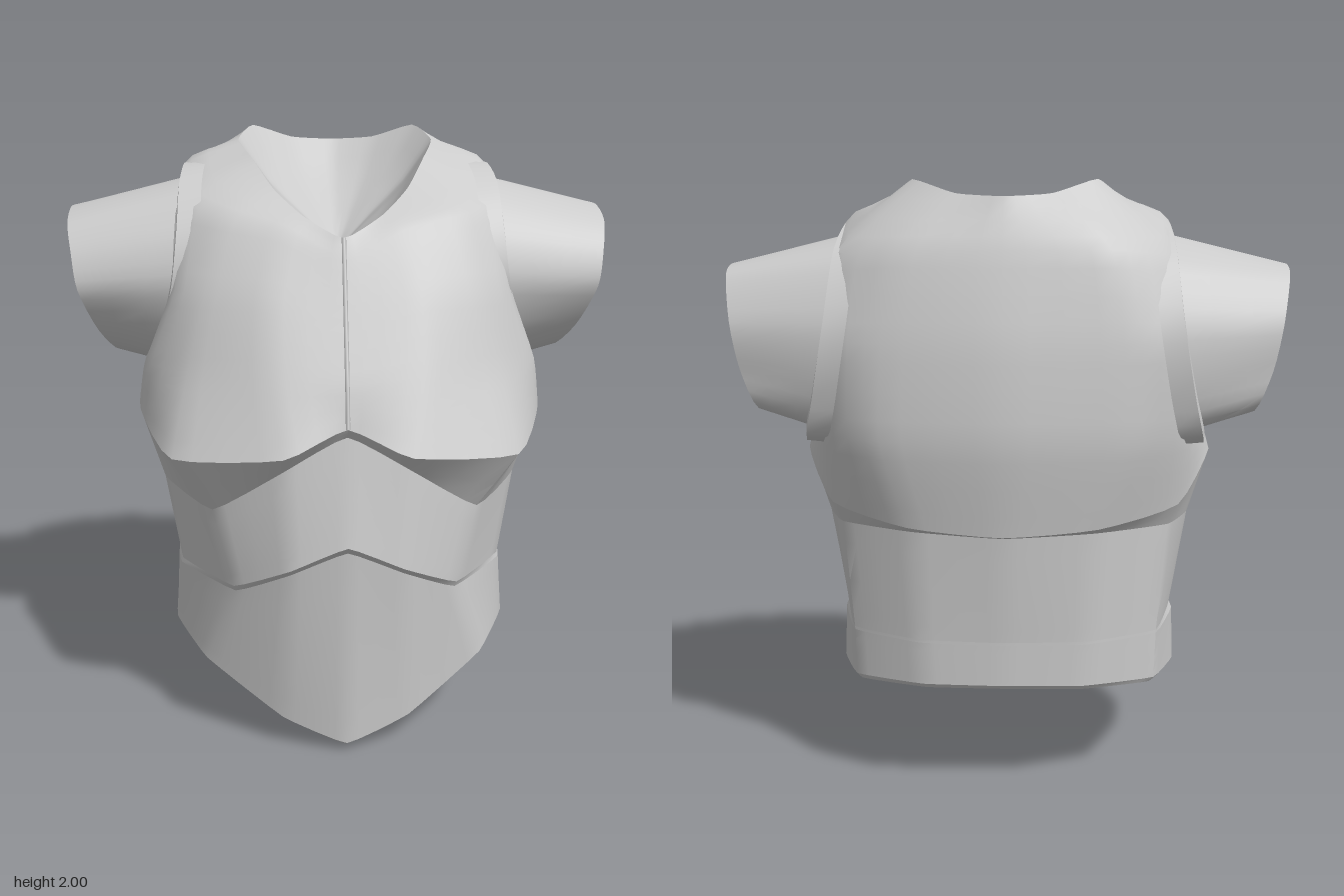
import * as THREE from 'three';
import { toCreasedNormals } from 'three/addons/utils/BufferGeometryUtils.js';

const material = new THREE.MeshStandardMaterial({ color: 0xcccccc, side: THREE.DoubleSide });

// Surface through closed loops of points, stacked from the first to the last loop
function loft(name, loops, rowSteps, colSteps, tension, crease = 0.6) {
  const n = loops[0].length, cols = n * colSteps, rows = (loops.length - 1) * rowSteps;
  const fine = loops.map((loop) => {
    const curve = new THREE.CatmullRomCurve3(loop, true, 'catmullrom', tension);
    return Array.from({ length: cols }, (_, j) => curve.getPoint(j / cols));
  });
  const positions = [], index = [];
  const columns = Array.from({ length: cols }, (_, j) =>
    new THREE.CatmullRomCurve3(fine.map((f) => f[j]), false, 'catmullrom', tension));
  for (let i = 0; i <= rows; i++) {
    for (let j = 0; j < cols; j++) {
      positions.push(...columns[j].getPoint(i / rows).toArray());
      if (i === rows) continue;
      const a = i * cols + j, b = i * cols + (j + 1) % cols;
      index.push(a, b, b + cols, a, b + cols, a + cols);
    }
  }
  const geometry = new THREE.BufferGeometry();
  geometry.setAttribute('position', new THREE.Float32BufferAttribute(positions, 3));
  geometry.setIndex(index);
  const mesh = new THREE.Mesh(toCreasedNormals(geometry, crease), material);
  mesh.name = name;
  return mesh;
}

// Half section from front centre round the left side to back centre, mirrored into a loop
function section(half) {
  const left = half.map((p) => new THREE.Vector3(...p));
  const right = left.slice(1, -1).reverse().map((p) => new THREE.Vector3(-p.x, p.y, p.z));
  return [...left, ...right];
}

// Copy of a loop drawn towards a point
const shrink = (loop, centre, amount) =>
  loop.map((p) => p.clone().lerp(new THREE.Vector3(...centre), amount));

// Sleeve outlines, from the front over the top and down the back
const sleeveBase = [[0.55, 1.5, 0.22], [0.53, 1.66, 0.18], [0.525, 1.79, 0.06], [0.52, 1.835, -0.15],
  [0.53, 1.75, -0.39], [0.55, 1.55, -0.5], [0.59, 1.35, -0.49], [0.63, 1.21, -0.4],
  [0.64, 1.2, -0.02], [0.6, 1.33, 0.15]];
const sleeveEnd = [[0.87, 1.48, 0.17], [0.89, 1.6, 0.14], [0.91, 1.69, 0.05], [0.92, 1.73, -0.13],
  [0.91, 1.7, -0.3], [0.88, 1.55, -0.405], [0.85, 1.4, -0.41], [0.8, 1.27, -0.38],
  [0.77, 1.235, -0.06], [0.82, 1.33, 0.08]];

function createSleeve(s) {
  const sleeve = new THREE.Group();
  sleeve.name = s > 0 ? 'leftSleeve' : 'rightSleeve';
  const place = (outline) => {
    const loop = outline.map(([x, y, z]) => new THREE.Vector3(s * x, y, z));
    return s > 0 ? loop : loop.reverse();
  };
  const base = place(sleeveBase), end = place(sleeveEnd);
  // Base outline widened about its middle and moved along x
  const rim = (scale, out) => base.map((p) => new THREE.Vector3(
    p.x + s * out, 1.5 + (p.y - 1.5) * scale, -0.14 + (p.z + 0.14) * scale));
  sleeve.add(
    loft('armholeRim', [rim(1.14, -0.07), rim(1.12, 0.005), rim(1.03, 0.01), rim(1, -0.03)], 1, 4, 0.45),
    loft('sleeveTube', [rim(1, -0.03), end], 4, 4, 0.4),
    loft('armHollow', [end, shrink(end, [s * 0.55, 1.49, -0.13], 0.3),
      shrink(end, [s * 0.6, 1.49, -0.13], 0.65), shrink(end, [s * 0.66, 1.49, -0.13], 0.999)], 2, 4, 0.4));
  return sleeve;
}

export function createModel() {
  const group = new THREE.Group();
  group.name = 'torsoArmour';

  // Abdomen and hips
  const hem = section([[0, 0, 0.54], [0.2, 0.08, 0.5], [0.46, 0.24, 0.37], [0.565, 0.29, 0.15],
    [0.57, 0.32, -0.1], [0.48, 0.36, -0.4], [0.25, 0.375, -0.52], [0, 0.38, -0.54]]);
  const hemTop = section([[0, 0.03, 0.59], [0.21, 0.105, 0.54], [0.465, 0.26, 0.4], [0.58, 0.305, 0.15],
    [0.585, 0.34, -0.1], [0.495, 0.375, -0.4], [0.26, 0.39, -0.53], [0, 0.395, -0.555]]);
  const waist = section([[0, 0.71, 0.615], [0.18, 0.63, 0.59], [0.36, 0.54, 0.49], [0.555, 0.53, 0.2],
    [0.58, 0.52, -0.08], [0.5, 0.53, -0.4], [0.27, 0.53, -0.53], [0, 0.53, -0.555]]);
  group.add(loft('underside', [shrink(hem, [0, 0.25, 0.14], 0.999), shrink(hem, [0, 0.25, 0.14], 0.5), hem], 1, 4, 0.15));
  group.add(loft('hem', [hem, hemTop], 1, 4, 0.15));
  group.add(loft('abdomenPlate', [hemTop, waist], 4, 4, 0.15));

  // Rib band above the waist
  const ribBottom = section([[0, 0.735, 0.64], [0.18, 0.655, 0.62], [0.365, 0.56, 0.5], [0.55, 0.545, 0.2],
    [0.57, 0.54, -0.08], [0.5, 0.54, -0.4], [0.27, 0.54, -0.53], [0, 0.54, -0.555]]);
  const ribTop = section([[0, 1.08, 0.58], [0.2, 0.97, 0.58], [0.43, 0.81, 0.46], [0.605, 0.83, 0.15],
    [0.62, 0.88, -0.12], [0.53, 0.9, -0.4], [0.29, 0.9, -0.54], [0, 0.89, -0.58]]);
  group.add(loft('waistSeam', [waist, ribBottom], 1, 4, 0.15));
  group.add(loft('ribBand', [ribBottom, ribTop], 4, 4, 0.15));

  // Chest and back plate, hollowed at the sides for the arms
  const chest = [
    [[0, 1.11, 0.6], [0.2, 1.03, 0.65], [0.55, 1.0, 0.52], [0.675, 1.08, 0.2],
      [0.69, 1.1, -0.12], [0.56, 0.97, -0.42], [0.3, 0.92, -0.57], [0, 0.9, -0.61]],
    [[0, 1.24, 0.56], [0.24, 1.26, 0.54], [0.5, 1.25, 0.42], [0.65, 1.25, 0.22],
      [0.65, 1.22, -0.12], [0.57, 1.2, -0.47], [0.38, 1.2, -0.6], [0, 1.2, -0.65]],
    [[0, 1.43, 0.47], [0.24, 1.5, 0.43], [0.44, 1.5, 0.36], [0.555, 1.5, 0.25],
      [0.46, 1.5, -0.12], [0.55, 1.5, -0.51], [0.37, 1.5, -0.59], [0, 1.5, -0.625]],
    [[0, 1.6, 0.39], [0.19, 1.69, 0.33], [0.38, 1.73, 0.26], [0.53, 1.77, 0.11],
      [0.53, 1.87, -0.17], [0.53, 1.77, -0.42], [0.33, 1.78, -0.54], [0, 1.78, -0.56]],
    [[0, 1.67, 0.355], [0.13, 1.735, 0.28], [0.22, 1.81, 0.17], [0.29, 1.9, 0.01],
      [0.34, 1.95, -0.2], [0.29, 1.995, -0.37], [0.15, 1.95, -0.45], [0, 1.94, -0.495]],
  ].map(section);
  group.add(loft('chestUnderside', [ribTop, chest[0]], 2, 4, 0.2));
  group.add(loft('chestAndBackPlate', chest, 4, 4, 0.28));

  // Hollow of the neck, steep at the back and nearly level at the front
  const neck = chest[4];
  group.add(loft('neckHollow', [neck, shrink(neck, [0, 1.5, -0.05], 0.3),
    shrink(neck, [0, 1.57, -0.03], 0.65), shrink(neck, [0, 1.59, 0], 0.999)], 2, 4, 0.28));

  // Raised seam down the breastbone
  const seamPath = new THREE.CatmullRomCurve3(chest.map((loop) => loop[0]), false, 'catmullrom', 0.28);
  const seam = new THREE.Mesh(new THREE.TubeGeometry(seamPath, 16, 0.008, 5), material);
  seam.name = 'breastSeam';
  group.add(seam);

  // Short sleeves
  for (const s of [1, -1]) group.add(createSleeve(s));

  return group;
}
